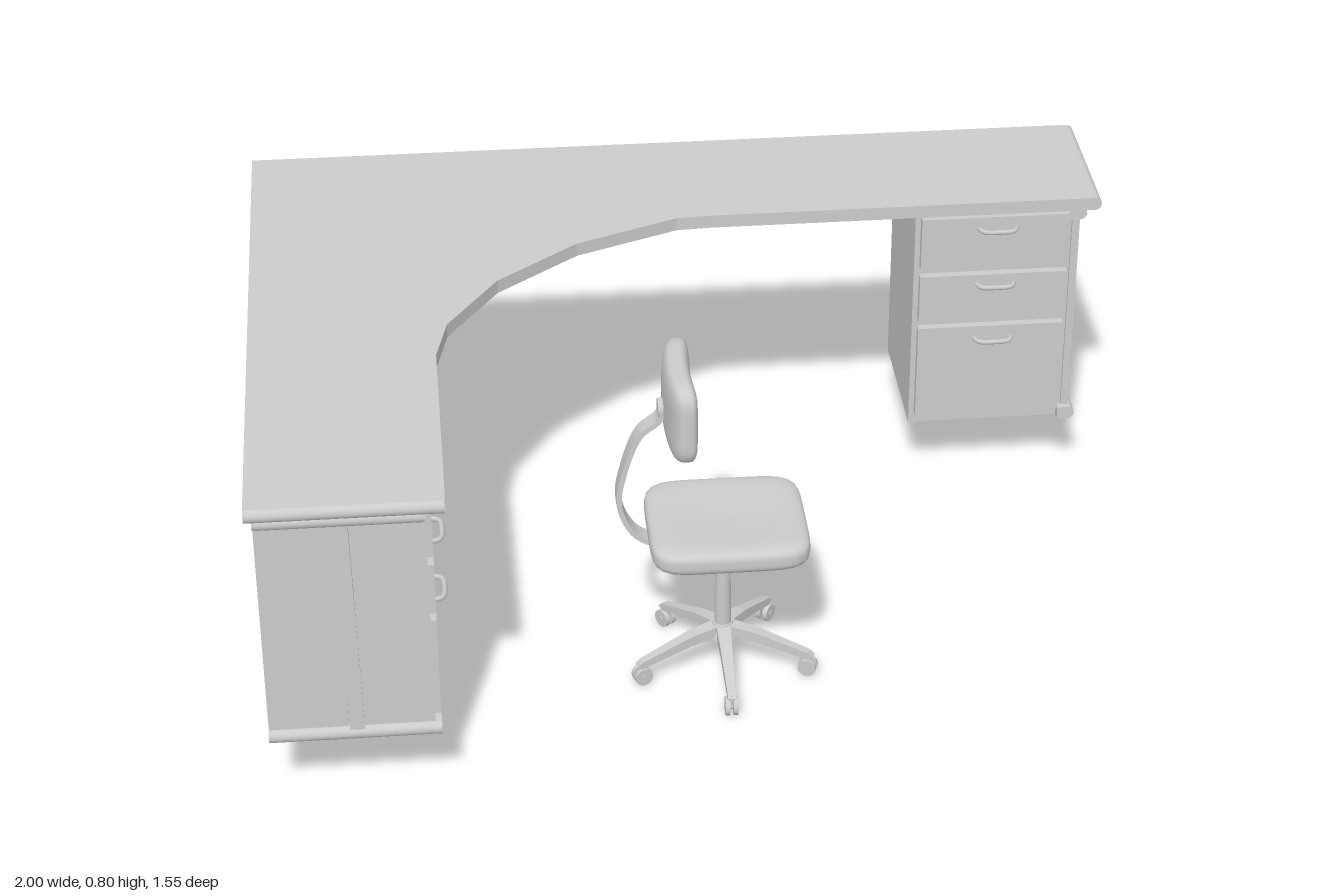
import * as THREE from 'three';

const grey = new THREE.MeshStandardMaterial({ color: 0xcccccc, side: THREE.DoubleSide });

function add(parent, name, geometry, x = 0, y = 0, z = 0) {
  const mesh = new THREE.Mesh(geometry, grey);
  mesh.name = name;
  mesh.position.set(x, y, z);
  parent.add(mesh);
  return mesh;
}

// Box given by its lower and upper corners
function box(parent, name, a, b) {
  const s = b.map((v, i) => Math.abs(v - a[i]));
  const c = b.map((v, i) => (v + a[i]) / 2);
  return add(parent, name, new THREE.BoxGeometry(...s), ...c);
}

// Round bar between two points
function bar(parent, name, a, b, r1, r2 = r1, sides = 16) {
  const from = new THREE.Vector3(...a), to = new THREE.Vector3(...b);
  const dir = to.clone().sub(from);
  const mesh = add(parent, name, new THREE.CylinderGeometry(r2, r1, dir.length(), sides));
  mesh.position.copy(from).add(to).multiplyScalar(0.5);
  mesh.quaternion.setFromUnitVectors(new THREE.Vector3(0, 1, 0), dir.normalize());
  return mesh;
}

// Cushion: a sphere pushed out towards a box, then bent by a rule
function cushion(w, h, d, bend) {
  const g = new THREE.SphereGeometry(1, 64, 40);
  const p = g.attributes.position;
  for (let i = 0; i < p.count; i++) {
    const x = p.getX(i), y = p.getY(i), z = p.getZ(i);
    const r = Math.hypot(x, z);
    const k = r < 1e-6 ? 0 : Math.pow(Math.abs(x / r) ** 6 + Math.abs(z / r) ** 6, -1 / 6);
    const v = Math.pow(r ** 3.5 + Math.abs(y) ** 3.5, -1 / 3.5);
    const n = bend(x * k * v, y * v, z * k * v);
    p.setXYZ(i, n[0] * w / 2, n[1] * h / 2, n[2] * d / 2);
  }
  g.computeVertexNormals();
  return g;
}

// Drawer pedestal facing +z; s is the side that carries the panelled face
function pedestal(name, s) {
  const g = new THREE.Group();
  g.name = name;
  box(g, 'cabinetBody', [-0.205 * s, 0.165, -0.185], [0.175 * s, 0.742, 0.163]);

  // Three drawers with bowed handles
  for (const [low, high, grip] of [[0.195, 0.438, 0.405], [0.457, 0.58, 0.555], [0.6, 0.735, 0.705]]) {
    box(g, 'drawerFront', [-0.192 * s, low, 0.163], [0.16 * s, high, 0.183]);
    const path = new THREE.CatmullRomCurve3([[-0.045, 0.18], [-0.036, 0.199], [0, 0.204], [0.036, 0.199], [0.045, 0.18]]
      .map(([x, z]) => new THREE.Vector3(x - 0.01 * s, grip, z)));
    add(g, 'drawerHandle', new THREE.TubeGeometry(path, 20, 0.006, 8));
  }

  // Panelled side with a cover strip and rounded mouldings
  for (const [back, front] of [[-0.183, -0.014], [0.014, 0.17]])
    box(g, 'sidePanel', [0.17 * s, 0.19, back], [0.188 * s, 0.715, front]);
  const strip = box(g, 'coverStrip', [0.17 * s, 0.19, -0.017], [0.197 * s, 0.715, 0.015]);
  strip.rotation.x = -0.02;
  box(g, 'topRail', [0.16 * s, 0.71, -0.185], [0.19 * s, 0.742, 0.168]);
  bar(g, 'topMoulding', [0.189 * s, 0.726, -0.185], [0.189 * s, 0.726, 0.168], 0.016);
  box(g, 'bottomRail', [0.16 * s, 0.165, -0.185], [0.186 * s, 0.197, 0.184]);
  bar(g, 'bottomMoulding', [0.186 * s, 0.181, -0.185], [0.186 * s, 0.181, 0.184], 0.016);
  return g;
}

function desk() {
  const g = new THREE.Group();
  g.name = 'cornerDesk';

  // Desktop with a swept inner corner, drawn in x and z
  const outline = [[-1, -0.775], [0.985, -0.775], [0.985, -0.395], [0.07, -0.395], [-0.01, -0.39], [-0.25, -0.29],
    [-0.44, -0.135], [-0.56, 0.05], [-0.588, 0.18], [-0.588, 0.756], [-1, 0.756]];
  const shape = new THREE.Shape(outline.map(([x, z]) => new THREE.Vector2(x, z)));
  const top = new THREE.ExtrudeGeometry(shape, { depth: 0.032, bevelEnabled: false });
  top.rotateX(Math.PI / 2);
  add(g, 'desktop', top, 0, 0.775, 0);
  bar(g, 'rightEndNosing', [0.984, 0.759, -0.775], [0.984, 0.759, -0.395], 0.016);
  bar(g, 'frontEndNosing', [-1, 0.759, 0.755], [-0.59, 0.759, 0.755], 0.016);

  const right = pedestal('leftPedestal', 1);
  right.position.set(0.765, 0, -0.58);
  const left = pedestal('rightPedestal', -1);
  left.position.set(-0.8, 0, 0.545);
  left.rotation.y = Math.PI / 2;
  g.add(right, left);
  return g;
}

// Chair facing +x, its column at the group origin
function chair() {
  const g = new THREE.Group();
  g.name = 'chair';

  // Five-star base with casters
  bar(g, 'hub', [0, 0.078, 0], [0, 0.115, 0], 0.034, 0.022, 20);
  for (let i = 0; i < 5; i++) {
    const arm = new THREE.Group();
    arm.name = 'baseArm';
    arm.rotation.y = -Math.PI / 2 + i * Math.PI * 2 / 5;
    const profile = new THREE.Shape([[0.01, 0.085], [0.08, 0.075], [0.2, 0.042], [0.212, 0.05], [0.2, 0.06],
      [0.08, 0.1], [0.01, 0.113]].map(p => new THREE.Vector2(...p)));
    const leg = new THREE.ExtrudeGeometry(profile, { depth: 0.03, bevelEnabled: false });
    leg.translate(0, 0, -0.015);
    const p = leg.attributes.position;
    for (let j = 0; j < p.count; j++) p.setZ(j, p.getZ(j) * (1.1 - 2.4 * p.getX(j)));
    leg.computeVertexNormals();
    add(arm, 'leg', leg);
    bar(arm, 'casterStem', [0.2, 0.028, 0], [0.2, 0.055, 0], 0.008);
    for (const z of [-0.009, 0.009])
      bar(arm, 'casterWheel', [0.198, 0.021, z - 0.005], [0.198, 0.021, z + 0.005], 0.021, 0.021, 20);
    bar(arm, 'casterAxle', [0.198, 0.021, -0.016], [0.198, 0.021, 0.016], 0.007);
    g.add(arm);
  }
  bar(g, 'column', [0, 0.1, 0], [0, 0.335, 0], 0.019, 0.017, 20);
  bar(g, 'columnCap', [0, 0.3, 0], [0, 0.335, 0], 0.024, 0.04, 20);

  // Seat with a dished top
  add(g, 'seat', cushion(0.355, 0.08, 0.328, (x, y, z) => {
    const dish = Math.max(0, 1 - x * x) * Math.max(0, 1 - z * z);
    return [x, y - (y > 0 ? 0.5 * dish * y : 0), z];
  }), 0.008, 0.372, -0.005);

  // Backrest, its ends curving forward
  const back = cushion(0.19, 0.064, 0.275, (x, y, z) => [x, y - 0.4 * z * z + 0.15, z]);
  back.rotateZ(Math.PI / 2);
  add(g, 'backrest', back, -0.097, 0.705, -0.005);

  // Bent flat support from under the seat to the backrest
  const curve = new THREE.CatmullRomCurve3([[0.09, 0.335], [0.03, 0.315], [-0.03, 0.312], [-0.12, 0.335], [-0.195, 0.37],
    [-0.232, 0.45], [-0.222, 0.53], [-0.185, 0.63], [-0.145, 0.665], [-0.125, 0.7]]
    .map(([x, y]) => new THREE.Vector3(x, y, 0)));
  const pts = curve.getPoints(50), inner = [], outer = [];
  pts.forEach((p, i) => {
    const t = curve.getTangent(i / 50);
    inner.push(new THREE.Vector2(p.x - t.y * 0.006, p.y + t.x * 0.006));
    outer.unshift(new THREE.Vector2(p.x + t.y * 0.006, p.y - t.x * 0.006));
  });
  const strap = new THREE.ExtrudeGeometry(new THREE.Shape([...inner, ...outer]), { depth: 0.044, bevelEnabled: false });
  add(g, 'backSupport', strap, 0, 0, -0.022);
  bar(g, 'backMount', [-0.145, 0.69, 0], [-0.11, 0.69, 0], 0.022, 0.026);
  g.position.set(0.03, 0, 0.307);
  return g;
}

export function createModel() {
  const model = new THREE.Group();
  model.name = 'cornerDeskAndChair';
  model.add(desk(), chair());
  return model;
}
